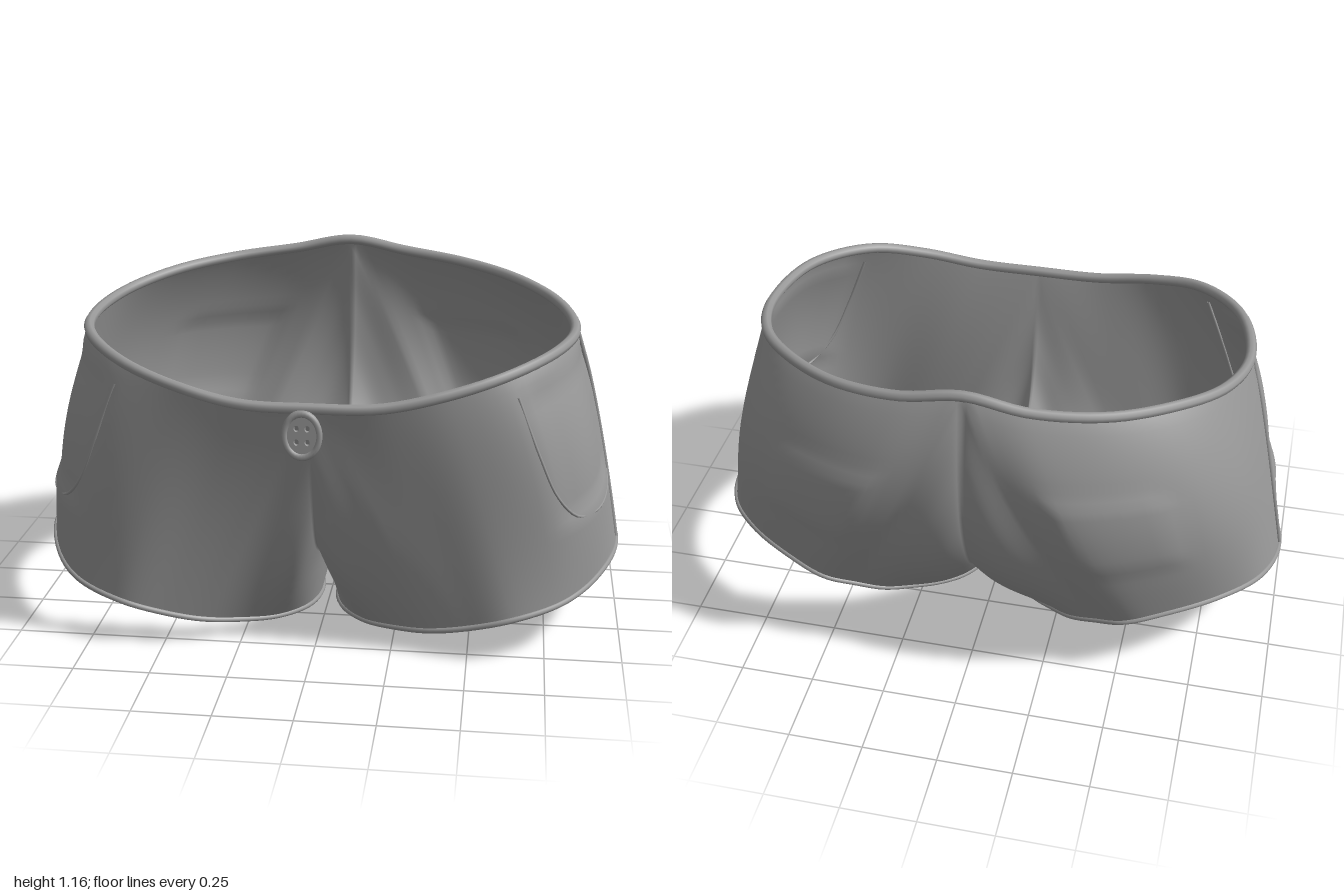
import * as THREE from 'three';
import { mergeVertices } from 'three/addons/utils/BufferGeometryUtils.js';

const V = (p) => new THREE.Vector3(...p);
const mirror = (p) => new THREE.Vector3(-p.x, p.y, p.z);

// Left half outlines: waist (front to back), centre seam (back to front), leg hem (matching loop)
const waistPts = [[0, .875, .615], [.22, .88, .61], [.42, .92, .58], [.6, .965, .5], [.76, 1, .3], [.815, 1.01, .04],
  [.755, 1.04, -.19], [.61, 1.075, -.37], [.42, 1.1, -.5], [.2, 1.125, -.56], [0, 1.16, -.565]].map(V);
const seamPts = [[0, 1.16, -.565], [0, .9, -.605], [0, .65, -.595], [0, .42, -.5], [0, .27, -.3], [0, .14, -.09],
  [0, .145, .04], [0, .235, .22], [0, .36, .46], [0, .6, .555], [0, .875, .615]].map(V);
const hemPts = [[.38, .08, .5], [.5, .11, .53], [.64, .15, .54], [.8, .18, .455], [.92, .21, .28], [.99, .24, .02],
  [.94, .27, -.2], [.81, .29, -.36], [.65, .28, -.46], [.52, .25, -.5], [.42, .21, -.47], [.33, .17, -.43],
  [.25, .13, -.36], [.17, .09, -.28], [.1, .06, -.19], [.05, .03, -.06], [.03, .015, .08], [.06, .012, .2],
  [.15, .025, .33], [.26, .048, .42]].map(V);
const waist = new THREE.CatmullRomCurve3(waistPts);
const seam = new THREE.CatmullRomCurve3(seamPts);
const hem = new THREE.CatmullRomCurve3(hemPts, true);
const step = THREE.MathUtils.smoothstep;
const bell = (u, centre, width) => {
  const d = Math.abs(u - centre);
  return Math.exp(-((Math.min(d, 20 - d) / width) ** 2));
};

// Point on the left half: u runs round the leg (0..20), t from waist or seam (0) to hem (1)
function surface(u, t, lift = 0) {
  const top = u <= 10 ? waist.getPoint(u / 10) : seam.getPoint((u - 10) / 10);
  const p = top.lerp(hem.getPoint((u % 20) / 20), t);
  const out = new THREE.Vector3(p.x, 0, p.z).normalize();
  const swell = Math.sin(Math.PI * t ** .85);
  // inner thigh, hollow front, rounded seat and fold below it
  p.z += swell * (.035 * bell(u, 18, 1.4) - .025 * bell(u, .6, 1.5)
    - .105 * bell(u, 9.3, 2.3) - .035 * bell(u, 12, 1.3));
  // fullness over the front pocket and the hip
  const full = swell * (.065 * bell(u, 3.6, 1.1) + .06 * bell(u, 6.9, 1.1));
  // recessed side pocket and raised back pocket
  const recess = step(u, 3, 3.4) * (1 - step(u, 4.8, 5)) * step(t, .04, .15) * (1 - step(t, .6, .68));
  const patch = step(u, 7.4, 7.6) * (1 - step(u, 9.1, 9.4)) * step(t, .3, .36) * (1 - step(t, .62, .74));
  return p.addScaledVector(out, lift + full - .015 * recess + .01 * patch);
}

// Both halves joined into one smooth cloth surface
function clothGeometry() {
  const cols = 120, rows = 28, pos = [], idx = [];
  for (const side of [1, -1]) {
    const base = pos.length / 3;
    for (let r = 0; r <= rows; r++) {
      for (let c = 0; c < cols; c++) {
        const p = surface(c * 20 / cols, r / rows);
        pos.push(side * p.x, p.y, p.z);
      }
    }
    for (let r = 0; r < rows; r++) {
      for (let c = 0; c < cols; c++) {
        const n = (c + 1) % cols;
        const a = base + r * cols + c, b = base + r * cols + n;
        const d = a + cols, e = b + cols;
        if (side > 0) idx.push(a, d, b, b, d, e);
        else idx.push(a, b, d, b, e, d);
      }
    }
  }
  let g = new THREE.BufferGeometry();
  g.setAttribute('position', new THREE.Float32BufferAttribute(pos, 3));
  g.setIndex(idx);
  g = mergeVertices(g, 1e-4);
  g.computeVertexNormals();
  return g;
}

export function createModel() {
  const model = new THREE.Group();
  const cloth = new THREE.MeshStandardMaterial({ color: 0x999999, side: THREE.DoubleSide });
  cloth.name = 'grey cloth';

  const add = (geometry, name, parent = model) => {
    const mesh = new THREE.Mesh(geometry, cloth);
    mesh.name = name;
    parent.add(mesh);
    return mesh;
  };
  const cord = (pts, name, radius, closed = false) =>
    add(new THREE.TubeGeometry(new THREE.CatmullRomCurve3(pts, closed), closed ? 120 : 32, radius, 8, closed), name);

  add(clothGeometry(), 'shortsBody');

  // Rolled waistband
  const ring = [...waistPts, ...waistPts.slice(1, -1).reverse().map(mirror)];
  cord(ring, 'waistband', .018, true).position.y = -.013;

  for (const side of [1, -1]) {
    const label = side > 0 ? 'left' : 'right';
    const place = (pts) => (side > 0 ? pts : pts.map(mirror));
    // Rolled leg hem
    cord(place(hemPts), label + 'LegHem', .01, true);
    // Raised side seam
    const seamLine = [];
    for (let i = 0; i <= 10; i++) seamLine.push(surface(4.9 + .2 * Math.sin(i * .25), i / 10));
    cord(place(seamLine), label + 'SideSeam', .009);
    // Stitched pocket edge
    const edge = [[3, .1], [3.02, .35], [3.15, .53], [3.45, .65], [4, .69], [4.6, .69], [5, .67]];
    cord(place(edge.map(([u, t]) => surface(u, t, -.002))), label + 'PocketEdge', .005);
  }

  // Front button with four holes and a raised rim
  const button = new THREE.Group();
  button.name = 'button';
  const disc = new THREE.Shape().absarc(0, 0, .056, 0, Math.PI * 2);
  for (const x of [-.017, .017]) {
    for (const y of [-.017, .017]) {
      disc.holes.push(new THREE.Path().absarc(x, y, .008, 0, Math.PI * 2, true));
    }
  }
  add(new THREE.ExtrudeGeometry(disc, { depth: .016, bevelEnabled: false, curveSegments: 20 }), 'buttonDisc', button);
  add(new THREE.TorusGeometry(.054, .01, 8, 32), 'buttonRim', button).position.z = .012;
  button.scale.y = 1.28;
  button.position.set(-.02, .78, .622);
  button.rotation.x = -.04;
  model.add(button);

  return model;
}
